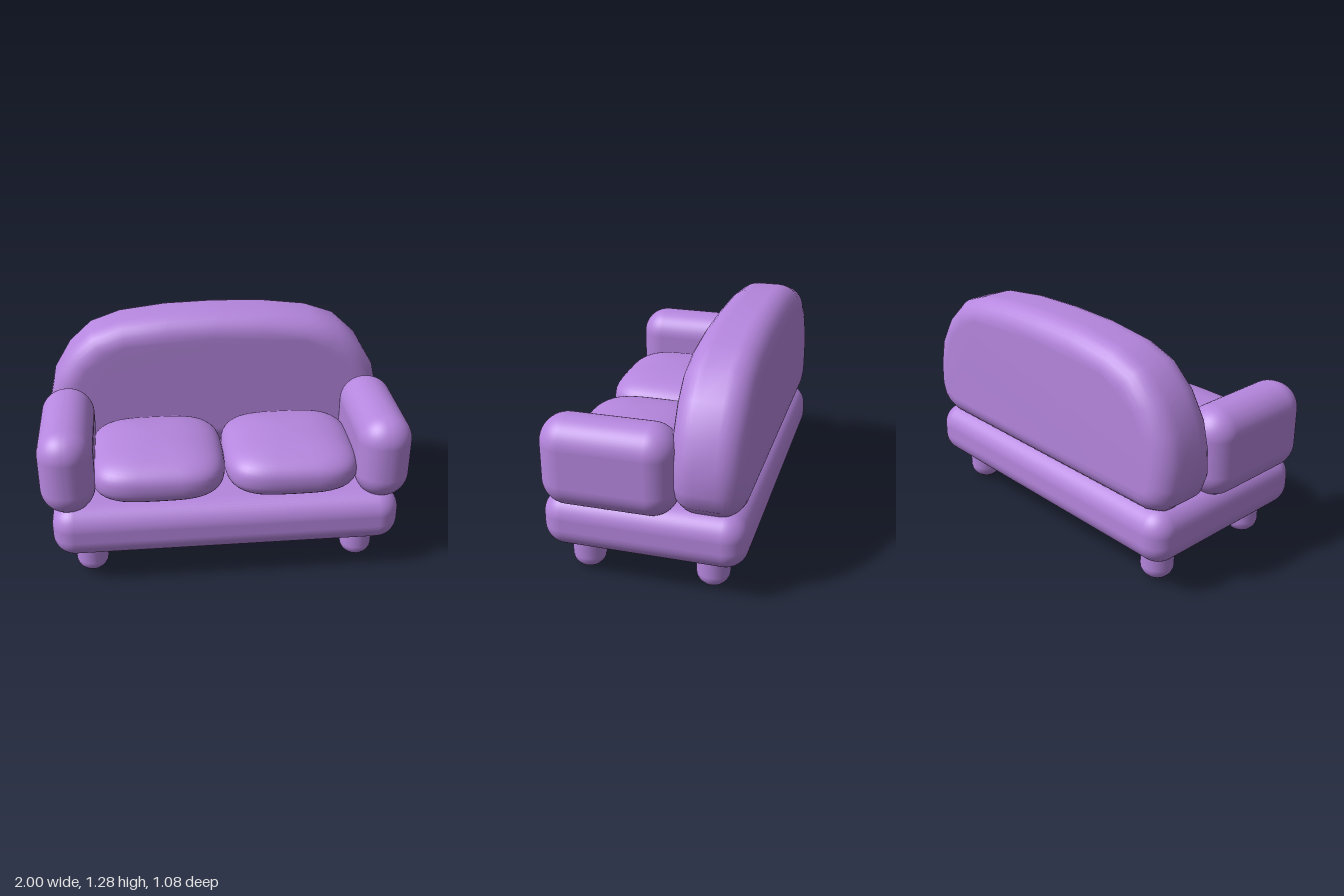
import * as THREE from 'three';
import { mergeVertices } from 'three/addons/utils/BufferGeometryUtils.js';
import { RoundedBoxGeometry } from 'three/addons/geometries/RoundedBoxGeometry.js';

const fabric = new THREE.MeshStandardMaterial({ name: 'purple fabric', color: 0xb586de });

function add(parent, name, geometry, x, y, z) {
  const mesh = new THREE.Mesh(geometry, fabric);
  mesh.name = name;
  mesh.position.set(x, y, z);
  parent.add(mesh);
  return mesh;
}

// Weld and smooth a geometry so its shading is soft
function smooth(geometry) {
  geometry.deleteAttribute('normal');
  geometry.deleteAttribute('uv');
  const welded = mergeVertices(geometry, 1e-4);
  welded.computeVertexNormals();
  return welded;
}

// Plump pillow: a sphere pushed out towards a box, squarer in plan than in profile
function pillow(hx, hy, hz, plan, profile) {
  const g = new THREE.SphereGeometry(1, 48, 28);
  const p = g.attributes.position;
  const pow = (v, e) => Math.sign(v) * Math.pow(Math.abs(v), e);
  for (let i = 0; i < p.count; i++) {
    const y = p.getY(i);
    const ring = Math.sqrt(Math.max(0, 1 - y * y));
    const a = Math.atan2(p.getZ(i), p.getX(i));
    const r = pow(ring, 2 / profile);
    p.setXYZ(i,
      hx * r * pow(Math.cos(a), 2 / plan),
      hy * pow(y, 2 / profile),
      hz * r * pow(Math.sin(a), 2 / plan));
  }
  return smooth(g);
}

// Arched backrest with a soft rounded rim
function backrest() {
  const right = [[0.8, 0.45], [0.88, 0.475], [0.94, 0.53], [0.97, 0.62], [0.965, 0.76],
    [0.93, 0.91], [0.84, 1.06], [0.71, 1.18], [0.54, 1.24], [0.28, 1.272]];
  const left = right.map(([x, y]) => [-x, y]).reverse();
  const outline = [...right, [0, 1.28], ...left].map(([x, y]) => new THREE.Vector2(x, y));
  const bevel = 0.125;
  const depth = 0.115;
  const g = new THREE.ExtrudeGeometry(new THREE.Shape(outline), {
    depth, bevelEnabled: true, bevelThickness: bevel, bevelSize: bevel,
    bevelOffset: -bevel, bevelSegments: 7,
  });
  g.translate(0, 0, -depth / 2);
  return smooth(g);
}

// Stubby leg with a domed foot
function leg() {
  const r = 0.09;
  const profile = [];
  for (let i = 0; i <= 6; i++) {
    const a = (i / 6) * Math.PI / 2;
    profile.push(new THREE.Vector2(r * Math.sin(a), 0.08 * (1 - Math.cos(a))));
  }
  profile.push(new THREE.Vector2(r, 0.26));
  return new THREE.LatheGeometry(profile, 24);
}

export function createModel() {
  const sofa = new THREE.Group();
  sofa.name = 'sofa';

  add(sofa, 'base', new RoundedBoxGeometry(1.9, 0.3, 1.08, 6, 0.12), 0, 0.33, 0);

  const back = add(sofa, 'backrest', backrest(), 0, 0, -0.338);
  back.scale.z = 1.03;

  for (const side of [1, -1]) {
    const label = side > 0 ? 'left' : 'right';
    add(sofa, label + 'Armrest', new RoundedBoxGeometry(0.295, 0.485, 0.72, 7, 0.143),
      side * 0.852, 0.677, 0.17);
    add(sofa, label + 'Cushion', pillow(0.37, 0.148, 0.35, 3.6, 2.5),
      side * 0.368, 0.594, 0.17);
    add(sofa, label + 'FrontLeg', leg(), side * 0.752, 0, 0.34);
    add(sofa, label + 'BackLeg', leg(), side * 0.752, 0, -0.34);
  }
  return sofa;
}
